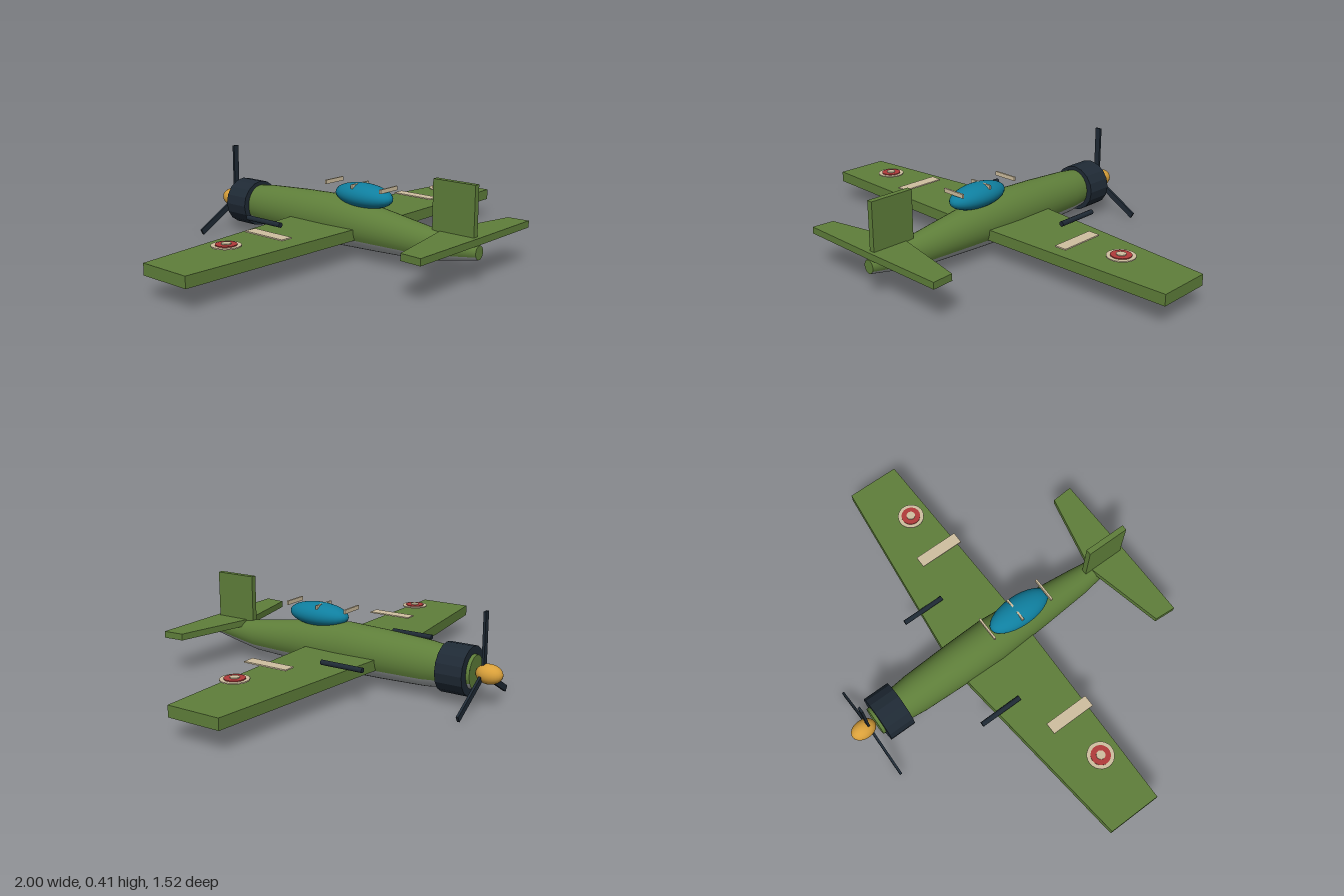
import * as THREE from 'three';

const mat = (name, color) => Object.assign(new THREE.MeshStandardMaterial({ color }), { name });

export function createModel() {
  const green = mat('olive green', 0x5f7f3a);
  const grey = mat('belly grey', 0xadb2b3);
  const dark = mat('dark metal', 0x1f2a35);
  const blue = mat('canopy blue', 0x0f7f9f);
  const gold = mat('spinner gold', 0xd9a03a);
  const cream = mat('cream', 0xd0c0a0);
  const red = mat('roundel red', 0xb23a3a);

  const plane = new THREE.Group();
  plane.name = 'airplane';
  const add = (name, geo, material, x = 0, y = 0, z = 0, parent = plane) => {
    const m = new THREE.Mesh(geo, material);
    m.name = name;
    m.position.set(x, y, z);
    parent.add(m);
    return m;
  };

  // Fuselage stations, tail to nose: z, bottom, top
  const stations = [
    [0.76, 0.11, 0.17], [0.63, 0.084, 0.19], [0.5, 0.06, 0.206], [0.25, 0.049, 0.243],
    [0, 0.04, 0.27], [-0.2, 0.042, 0.263], [-0.42, 0.048, 0.25], [-0.52, 0.06, 0.238], [-0.64, 0.075, 0.222],
  ];
  const ratio = 0.89; // width to height of the section

  // Skin between two angles of the oval section
  const skin = (from, to, n) => {
    const pos = [], idx = [];
    stations.forEach(([z, lo, hi], i) => {
      const r = (hi - lo) / 2, cy = (hi + lo) / 2;
      for (let j = 0; j <= n; j++) {
        const a = from + (to - from) * j / n;
        pos.push(ratio * r * Math.cos(a), cy + r * Math.sin(a), z);
        if (i < stations.length - 1 && j < n) {
          const p = i * (n + 1) + j, q = p + n + 1;
          idx.push(p, q, p + 1, q, q + 1, p + 1);
        }
      }
    });
    const g = new THREE.BufferGeometry();
    g.setAttribute('position', new THREE.Float32BufferAttribute(pos, 3));
    g.setIndex(idx);
    g.computeVertexNormals();
    return g;
  };
  const split = Math.PI / 6;
  add('fuselageUpper', skin(-split, Math.PI + split, 24), green);
  add('fuselageBelly', skin(Math.PI + split, 2 * Math.PI - split, 12), grey);
  for (const [name, s, turn] of [['tailCap', stations[0], 0], ['noseCap', stations[stations.length - 1], Math.PI]]) {
    const r = (s[2] - s[1]) / 2;
    add(name, new THREE.CircleGeometry(r, 32).scale(ratio, 1, 1).rotateY(turn), green, 0, (s[1] + s[2]) / 2, s[0]);
  }

  // Flat slab from half an outline in x and z, mirrored across the middle
  const slab = (half, bottom, top) => {
    const outline = [...half, ...half.map(([x, z]) => [-x, z]).reverse()];
    const shape = new THREE.Shape(outline.map(([x, z]) => new THREE.Vector2(x, z)));
    return new THREE.ExtrudeGeometry(shape, { depth: top - bottom, bevelEnabled: false })
      .rotateX(Math.PI / 2).translate(0, top, 0);
  };
  add('wing', slab([[0.02, -0.21], [1, -0.1], [1, 0.15], [0.02, 0.172]], 0.1, 0.15), green);
  add('tailplane', slab([[0.02, 0.575], [0.378, 0.655], [0.385, 0.755], [0.02, 0.757]], 0.17, 0.2), green);
  add('tailFin', new THREE.BoxGeometry(0.026, 0.255, 0.205), green, 0, 0.2875, 0.6375);

  // Engine cowling
  add('cowling', new THREE.CylinderGeometry(0.109, 0.109, 0.125, 16).rotateX(Math.PI / 2).toNonIndexed(),
    dark, 0, 0.15, -0.5625).geometry.computeVertexNormals();

  // Propeller and spinner
  const propeller = new THREE.Group();
  propeller.name = 'propeller';
  propeller.position.set(0, 0.15, -0.675);
  plane.add(propeller);
  for (let i = 0; i < 3; i++) {
    const blade = new THREE.BoxGeometry(0.028, 0.265, 0.011).translate(0, 0.1325, 0);
    add('propellerBlade', blade, dark, 0, 0, 0, propeller).rotation.z = i * Math.PI * 2 / 3;
  }
  add('spinner', new THREE.SphereGeometry(1, 24, 16).scale(0.043, 0.043, 0.06), gold, 0, 0, -0.025, propeller);

  // Canopy and its frame bars
  add('canopy', new THREE.SphereGeometry(1, 28, 18).scale(0.07, 0.055, 0.155), blue, 0, 0.286, 0.155);
  for (const z of [-0.02, 0.132, 0.292]) {
    add('canopyFrame', new THREE.BoxGeometry(0.115, 0.018, 0.009), cream, 0, 0.33, z);
  }

  // Guns, stripes and roundels on both wings
  for (const s of [-1, 1]) {
    add('gun', new THREE.CylinderGeometry(0.012, 0.012, 0.206, 8).rotateX(Math.PI / 2), dark, s * 0.298, 0.17, -0.167);
    add('wingStripe', new THREE.BoxGeometry(0.055, 0.006, 0.215), cream, s * 0.496, 0.19, 0.063);
    const disc = (name, r, y, m) => add(name, new THREE.CylinderGeometry(r, r, 0.005, 24), m, s * 0.718, y, 0.058);
    disc('roundelOuter', 0.061, 0.19, cream);
    disc('roundelRing', 0.044, 0.194, red);
    disc('roundelCentre', 0.02, 0.198, cream);
  }
  return plane;
}
